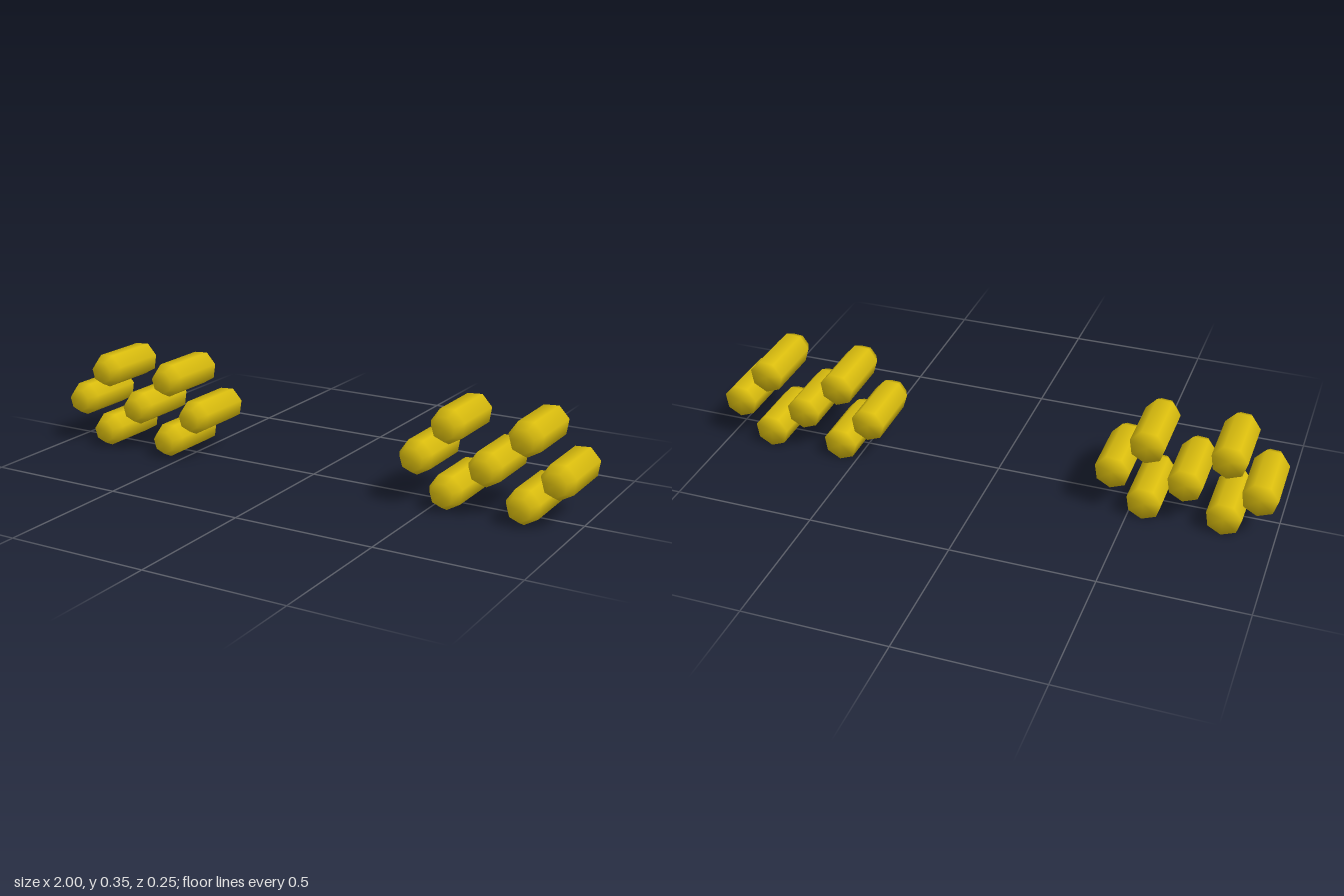
import * as THREE from 'three';

export function createModel() {
  const model = new THREE.Group();
  const material = new THREE.MeshStandardMaterial({ color: 0xd9bc0e });

  // Seven-sided cartridge with a flat back and a tapered nose, pointing to +z
  const R = 0.062, r = 0.0425;
  const profile = [[0, -0.127], [R, -0.127], [R, 0.089], [r, 0.128], [0, 0.128]]
    .map(([radius, z]) => new THREE.Vector2(radius, z));
  const geometry = new THREE.LatheGeometry(profile, 7, THREE.MathUtils.degToRad(4));
  geometry.rotateX(Math.PI / 2);

  // Cluster layout: one in the middle, six around it
  const layout = [
    [0, 0.165], [-0.248, 0.165], [0.248, 0.165],
    [-0.137, 0.288], [0.134, 0.288],
    [-0.137, 0.062], [0.134, 0.062],
  ];

  for (const [name, x] of [['rightCluster', -0.691], ['leftCluster', 0.691]]) {
    const cluster = new THREE.Group();
    cluster.name = name;
    cluster.position.x = x;
    layout.forEach(([cx, cy], i) => {
      const cartridge = new THREE.Mesh(geometry, material);
      cartridge.name = `cartridge${i + 1}`;
      cartridge.position.set(cx, cy, 0);
      cluster.add(cartridge);
    });
    model.add(cluster);
  }
  return model;
}
